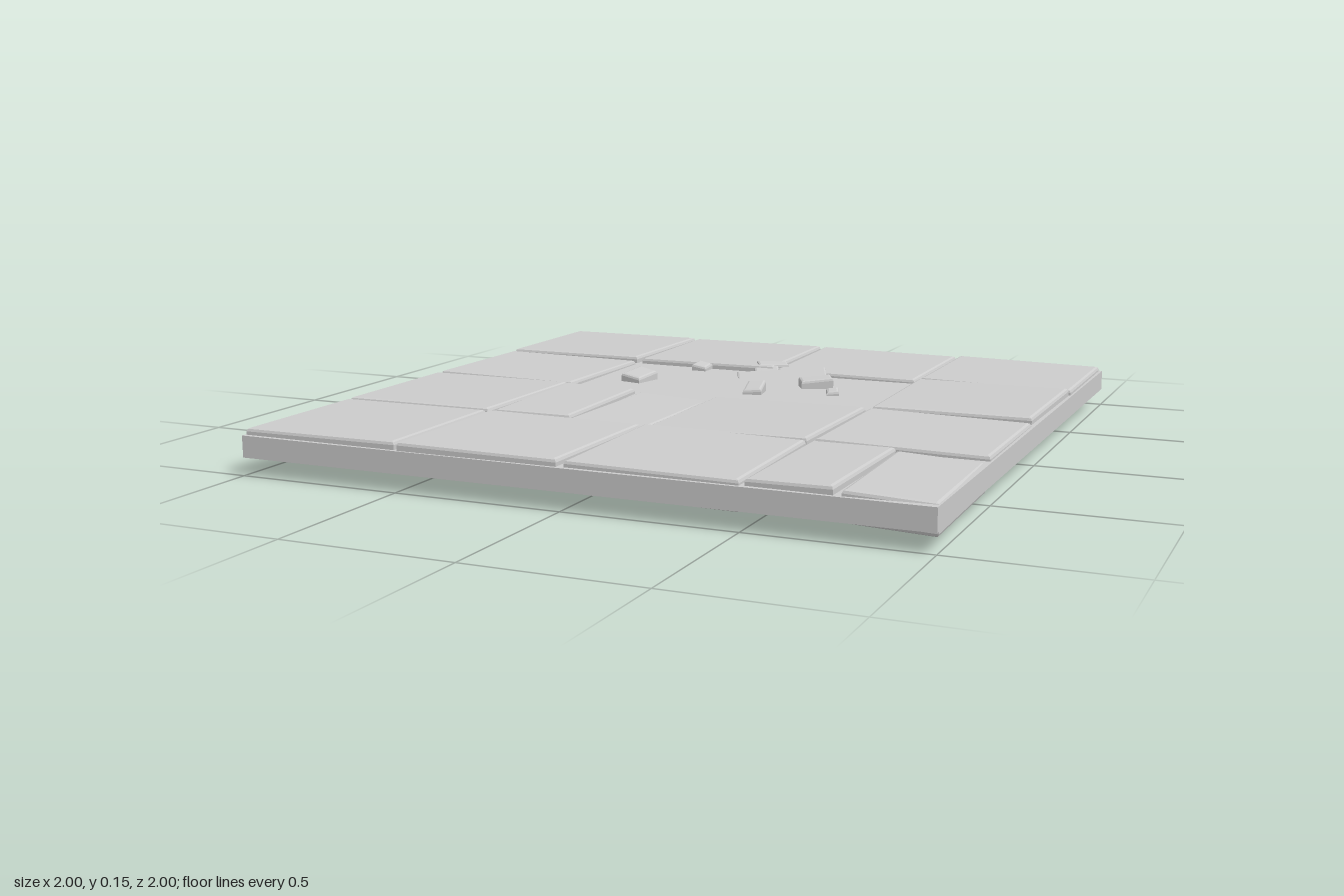
import * as THREE from 'three';

const stone = new THREE.MeshStandardMaterial({ color: 0xcccccc });
stone.name = 'pale stone';

// Bevelled slab from [x, z] corners; its top passes through topY at the centre
// and slopes by sx along x and sz along z.
function slab(name, pts, topY, sx = 0, sz = 0, thick = 0.085, bevel = 0.01) {
  const shape = new THREE.Shape(pts.map(([x, z]) => new THREE.Vector2(x, -z)));
  const geo = new THREE.ExtrudeGeometry(shape, {
    depth: thick - 2 * bevel, bevelEnabled: true, bevelThickness: bevel,
    bevelSize: bevel, bevelOffset: -bevel, bevelSegments: 2,
  });
  geo.rotateX(-Math.PI / 2);
  const cx = pts.reduce((s, p) => s + p[0], 0) / pts.length;
  const cz = pts.reduce((s, p) => s + p[1], 0) / pts.length;
  const pos = geo.attributes.position;
  for (let i = 0; i < pos.count; i++) {
    const tilt = sx * (pos.getX(i) - cx) + sz * (pos.getZ(i) - cz);
    pos.setY(i, pos.getY(i) + topY - thick + bevel + tilt);
  }
  geo.computeVertexNormals();
  const mesh = new THREE.Mesh(geo, stone);
  mesh.name = name;
  return mesh;
}

// Four corners of a rotated, slightly tapered chip
function chip(x, z, w, d, angle) {
  const c = Math.cos(angle), s = Math.sin(angle);
  return [[-0.5, -0.5], [0.42, -0.5], [0.5, 0.45], [-0.42, 0.5]].map(([u, v]) =>
    [x + u * w * c - v * d * s, z + u * w * s + v * d * c]);
}

export function createModel() {
  const model = new THREE.Group();
  model.name = 'crackedTileFloor';

  // Bedding layer
  const base = new THREE.Mesh(new THREE.BoxGeometry(2, 0.063, 2), stone);
  base.name = 'base';
  base.position.y = 0.0835;
  model.add(base);

  // Whole tiles, each settled at a slight slope: [column, row, top, slope x, slope z]
  const cols = [[-0.998, -0.51], [-0.497, -0.01], [0.004, 0.49], [0.505, 0.99]];
  const rows = [[-0.997, -0.513], [-0.497, -0.015], [0.003, 0.49], [0.503, 0.99]];
  const tiles = [
    [0, 0, 0.136, 0.004, 0.006], [1, 0, 0.136, 0.008, 0.002],
    [2, 0, 0.132, -0.008, -0.006], [3, 0, 0.134, -0.012, 0.004],
    [0, 1, 0.132, -0.006, 0.01], [3, 1, 0.137, 0.004, -0.006],
    [0, 2, 0.136, 0.003, 0.003], [2, 2, 0.131, 0.01, 0.006],
    [3, 2, 0.131, -0.012, 0.008], [0, 3, 0.136, 0.008, 0.002],
    [1, 3, 0.137, -0.008, 0.003], [2, 3, 0.134, -0.008, -0.008],
  ];
  for (const [c, r, top, sx, sz] of tiles) {
    const [x0, x1] = cols[c], [z0, z1] = rows[r], j = 0.004 * ((c + r) % 2 ? 1 : -1);
    model.add(slab('tile', [[x0, z0], [x1, z0 + j], [x1 + j, z1], [x0 + 0.003, z1 - j]], top, sx, sz));
  }

  // Two tiles split in half
  model.add(slab('splitTileLeft', [[-0.51, 0.005], [-0.27, 0.003], [-0.248, 0.478], [-0.485, 0.495]], 0.136, -0.01, 0.01));
  model.add(slab('splitTileRight', [[-0.25, 0.005], [-0.012, 0.003], [-0.008, 0.49], [-0.248, 0.482]], 0.122, -0.04, 0.012));
  model.add(slab('cornerTileLeft', [[0.505, 0.503], [0.745, 0.513], [0.738, 0.99], [0.508, 0.985]], 0.136, 0.015, 0.004));
  model.add(slab('cornerTileRight', [[0.748, 0.515], [0.988, 0.505], [0.998, 0.978], [0.76, 0.99]], 0.124, -0.055, 0.008));

  // Large shard sunk through the base where two tiles are missing
  model.add(slab('sunkenShard', [[-0.11, -0.45], [0.16, -0.568], [0.295, -0.25], [0.03, -0.135]], 0.114, 0.005, -0.115, 0.09, 0.006));

  // Loose chips: [x, z, width, depth, angle, top, slope x, slope z]
  const chips = [
    [-0.362, -0.22, 0.08, 0.1, 0.3, 0.143, -0.1, -0.15],
    [-0.255, -0.487, 0.055, 0.06, 0.1, 0.136, -0.15, -0.1],
    [-0.025, -0.56, 0.11, 0.05, -0.38, 0.143, -0.05, -0.1],
    [-0.03, -0.515, 0.09, 0.055, -0.3, 0.131, 0, -0.2],
    [0.215, -0.325, 0.11, 0.055, -0.38, 0.147, 0.05, -0.15],
    [0.067, -0.165, 0.065, 0.08, -0.1, 0.14, 0.05, -0.25],
    [0.305, -0.232, 0.042, 0.05, -0.3, 0.131, 0.05, -0.15],
  ];
  for (const [x, z, w, d, a, top, sx, sz] of chips) {
    model.add(slab('chip', chip(x, z, w, d, a), top, sx, sz, 0.05, 0.008));
  }
  return model;
}
